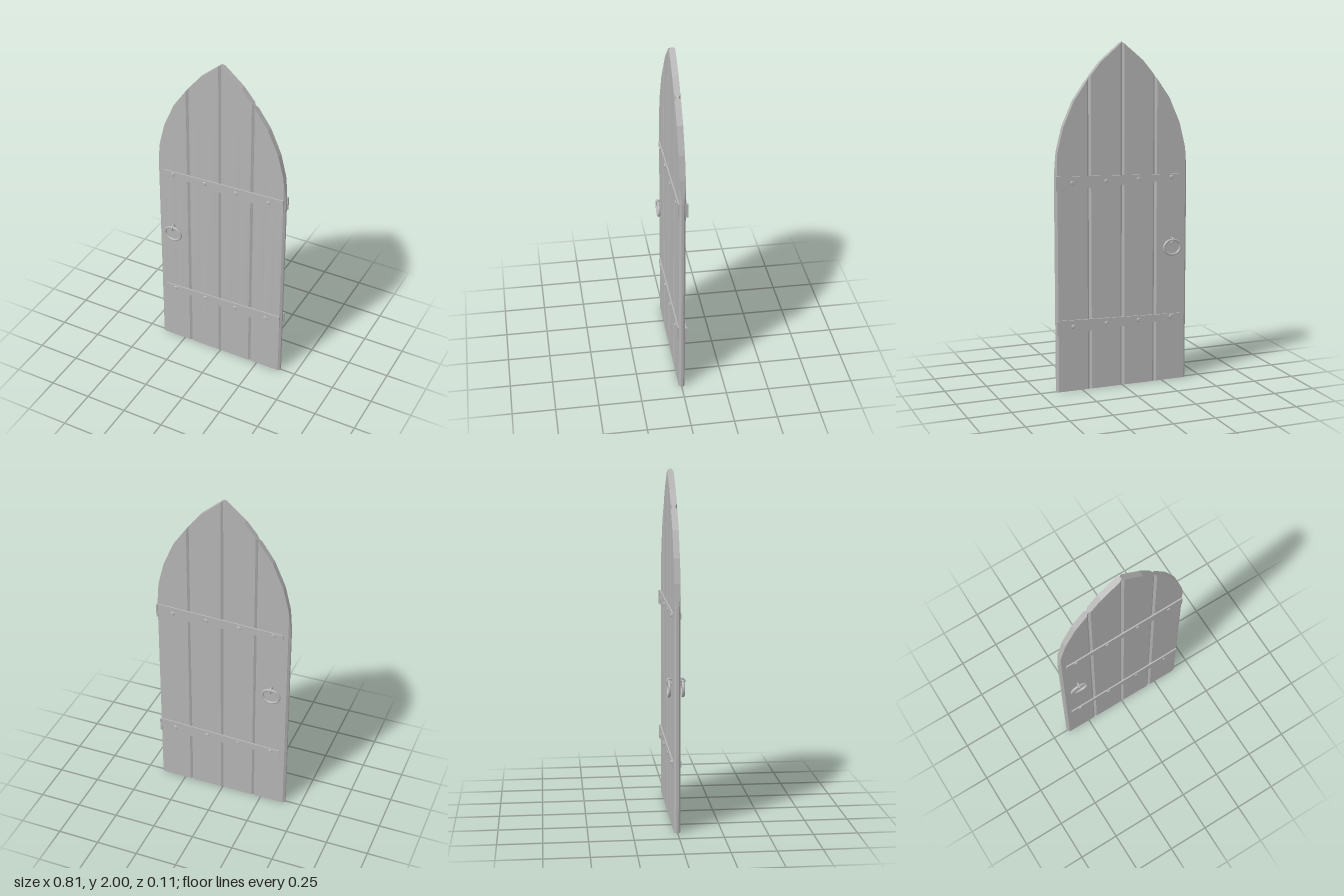
import * as THREE from 'three';

const grey = new THREE.MeshStandardMaterial({ color: 0xb4b4b4 });
grey.name = 'grey';

const HALF = 0.0175;   // half thickness of the planks
const EDGE = 0.007;    // half thickness at the chamfered plank edges
const CHAMFER = 0.012;
const WIDTH = 0.2025;

// Pointed arch: [distance from centre, height]
const ARCH = [[0, 2], [0.127, 1.894], [0.205, 1.8], [0.29, 1.68], [0.355, 1.535], [0.389, 1.4], [0.405, 1.265]];

function archHeight(x) {
  const d = Math.min(Math.abs(x), 0.405);
  const i = Math.max(1, ARCH.findIndex(p => p[0] >= d - 1e-6));
  const [a, b] = [ARCH[i - 1], ARCH[i]];
  return THREE.MathUtils.lerp(a[1], b[1], (d - a[0]) / (b[0] - a[0]));
}

function add(parent, name, geometry, x = 0, y = 0, z = 0) {
  const mesh = new THREE.Mesh(geometry, grey);
  mesh.name = name;
  mesh.position.set(x, y, z);
  parent.add(mesh);
  return mesh;
}

// Plank with chamfered long edges, its top cut along the arch
function plankGeometry(x0, x1) {
  const inner = ARCH.flatMap(p => [p[0], -p[0]]).filter(x => x > x0 + CHAMFER + 0.001 && x < x1 - CHAMFER - 0.001);
  const xs = [x0, x0 + CHAMFER, ...inner, x1 - CHAMFER, x1].sort((a, b) => a - b);
  const columns = xs.map((x, i) => {
    const d = i === 0 || i === xs.length - 1 ? EDGE : HALF;
    const h = archHeight(x);
    // corners: bottom front, top front, top back, bottom back
    return [[x, 0, d], [x, h, d], [x, h, -d], [x, 0, -d]];
  });
  const pos = [];
  const quad = (a, b, c, d) => pos.push(...a, ...b, ...c, ...a, ...c, ...d);
  for (let i = 0; i < columns.length - 1; i++) {
    const [l, r] = [columns[i], columns[i + 1]];
    for (let k = 0; k < 4; k++) {
      const n = (k + 1) % 4;
      quad(l[k], r[k], r[n], l[n]);
    }
  }
  const first = columns[0], last = columns[columns.length - 1];
  quad(first[0], first[1], first[2], first[3]);
  quad(last[0], last[3], last[2], last[1]);
  const geometry = new THREE.BufferGeometry();
  geometry.setAttribute('position', new THREE.Float32BufferAttribute(pos, 3));
  geometry.computeVertexNormals();
  return geometry;
}

// Tapered strap, wide at the hinge side
function strapGeometry() {
  const shape = new THREE.Shape([
    new THREE.Vector2(-0.365, -0.016), new THREE.Vector2(0.396, -0.041),
    new THREE.Vector2(0.396, 0.041), new THREE.Vector2(-0.365, 0.016),
  ]);
  return new THREE.ExtrudeGeometry(shape, { depth: 0.009, bevelEnabled: false }).translate(0, 0, -0.0045);
}

export function createModel() {
  const door = new THREE.Group();
  door.name = 'door';
  const body = new THREE.Group();
  body.name = 'doorBody';
  body.position.z = -0.0015;
  door.add(body);

  for (let i = -2; i < 2; i++) add(body, 'plank', plankGeometry(i * WIDTH, (i + 1) * WIDTH));

  for (const side of [1, -1]) {
    const face = side > 0 ? 'front' : 'back';

    // Straps with rivets
    for (const y of [1.218, 0.385]) {
      add(body, face + 'Strap', strapGeometry(), 0, y, side * 0.021);
      for (const x of [-0.305, -0.1, 0.1, 0.305]) {
        const rivet = new THREE.CylinderGeometry(0.01, 0.014, 0.006, 12).rotateX(side * Math.PI / 2);
        add(body, face + 'Rivet', rivet, x, y, side * 0.027);
      }
      // Hinge knuckle at the end of the back strap
      if (side < 0) add(body, 'hingeKnuckle', new THREE.BoxGeometry(0.01, 0.082, 0.014), 0.4, y, -0.0235);
    }

    // Ring pull hanging from a staple
    const ring = new THREE.TorusGeometry(0.052, 0.008, 10, 28);
    add(body, face + 'Ring', ring, -0.306, 0.806, side * 0.0385).scale.y = 0.84;
    const staple = new THREE.TorusGeometry(0.016, 0.005, 8, 16).rotateY(Math.PI / 2);
    add(body, face + 'Staple', staple, -0.306, 0.846, side * 0.033);
  }
  return door;
}
